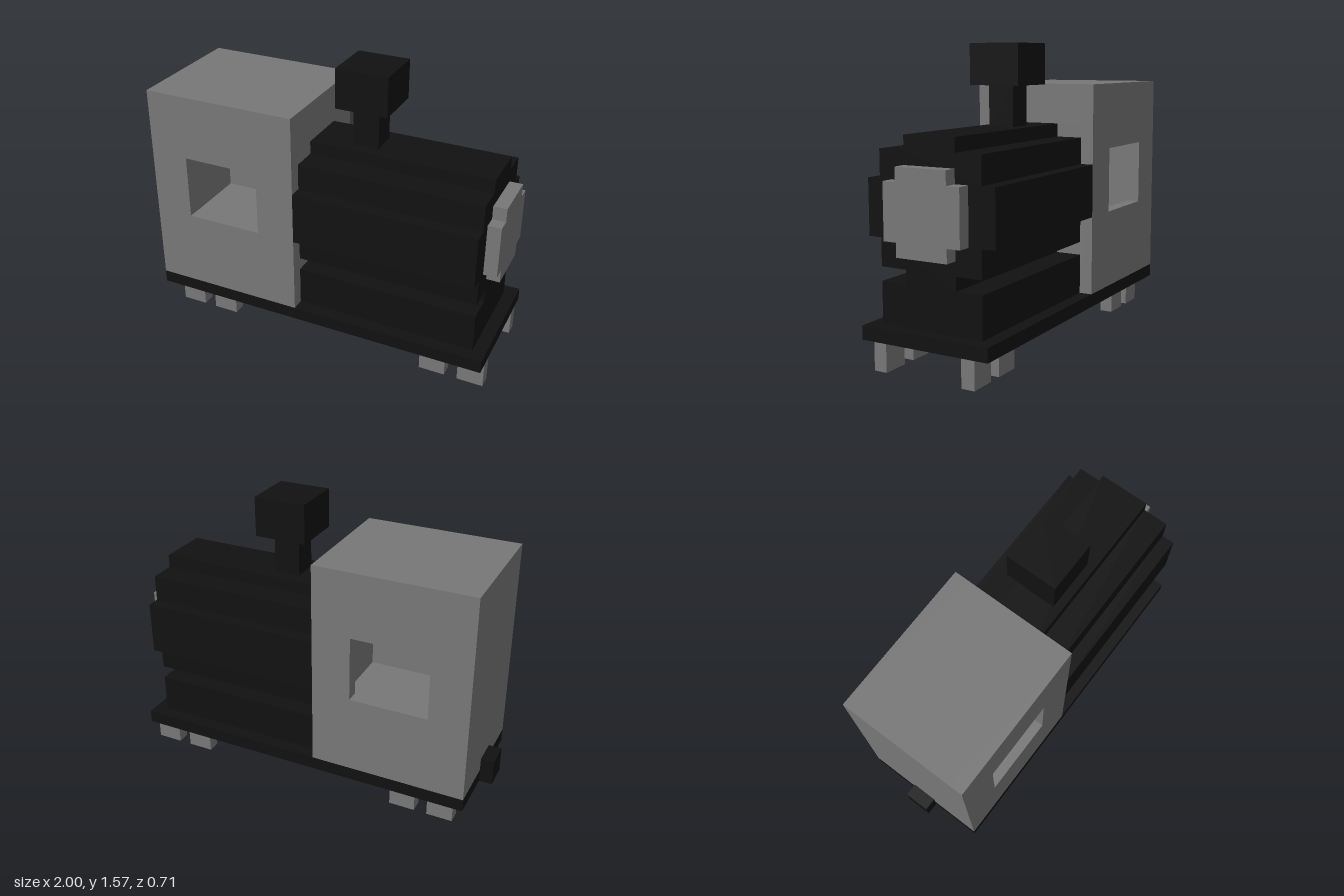
import * as THREE from 'three';

const U = 1 / 14; // one block of the model's grid

const grey = new THREE.MeshStandardMaterial({ color: 0x777777 });
grey.name = 'grey';
const black = new THREE.MeshStandardMaterial({ color: 0x111111 });
black.name = 'black';

// Box between two corners given in grid units
function block(parent, name, material, [x0, x1], [y0, y1], [z0, z1]) {
  const geometry = new THREE.BoxGeometry((x1 - x0) * U, (y1 - y0) * U, (z1 - z0) * U);
  const mesh = new THREE.Mesh(geometry, material);
  mesh.position.set((x0 + x1) * U / 2, (y0 + y1) * U / 2, (z0 + z1) * U / 2);
  mesh.name = name;
  parent.add(mesh);
}

function rectangle(Type, x0, x1, y0, y1) {
  const corners = [[x0, y0], [x1, y0], [x1, y1], [x0, y1]];
  return new Type(corners.map(([x, y]) => new THREE.Vector2(x * U, y * U)));
}

// Stepped, mirrored cross-section pushed along x; steps are [bottom, top, half width]
function steppedPrism(parent, name, material, steps, x0, x1) {
  const right = steps.flatMap(([y0, y1, w]) => [[w, y0], [w, y1]]);
  const left = right.map(([w, y]) => [-w, y]).reverse();
  const shape = new THREE.Shape([...right, ...left].map(([w, y]) => new THREE.Vector2(w * U, y * U)));
  const geometry = new THREE.ExtrudeGeometry(shape, { depth: (x1 - x0) * U, bevelEnabled: false });
  geometry.rotateY(Math.PI / 2).translate(x0 * U, 0, 0);
  const mesh = new THREE.Mesh(geometry, material);
  mesh.name = name;
  parent.add(mesh);
}

export function createModel() {
  const model = new THREE.Group();
  model.name = 'steamLocomotive';

  // Chassis and rear coupling
  block(model, 'chassis', black, [-13, 14], [2, 3], [-5, 5]);
  block(model, 'coupling', black, [-14, -13], [2, 4], [-1, 1]);

  // Four pairs of wheels
  const wheels = new THREE.Group();
  wheels.name = 'wheels';
  for (const x of [-12, -9, 9, 12]) {
    for (const z of [-4, 3]) block(wheels, 'wheel', grey, [x, x + 2], [0, 2], [z, z + 1]);
  }
  model.add(wheels);

  // Hollow cab with a window through each side wall
  const cab = new THREE.Group();
  cab.name = 'cab';
  block(cab, 'cabFloor', grey, [-13, -1], [3, 7], [-4, 4]);
  block(cab, 'cabRoof', grey, [-13, -1], [16, 19], [-4, 4]);
  block(cab, 'cabRearWall', grey, [-13, -12], [7, 16], [-4, 4]);
  block(cab, 'cabFrontWall', grey, [-2, -1], [7, 16], [-4, 4]);
  const side = rectangle(THREE.Shape, -13, -1, 3, 19);
  side.holes.push(rectangle(THREE.Path, -10, -4, 9, 14));
  const sideGeometry = new THREE.ExtrudeGeometry(side, { depth: U, bevelEnabled: false });
  for (const z of [-5, 4]) {
    const wall = new THREE.Mesh(sideGeometry, grey);
    wall.position.z = z * U;
    wall.name = 'cabSideWall';
    cab.add(wall);
  }
  model.add(cab);

  // Boiler with its bed, and the round plate on its nose
  steppedPrism(model, 'boiler', black,
    [[3, 6, 4], [6, 7, 2], [7, 9, 4], [9, 13, 5], [13, 15, 4], [15, 16, 2]], -1, 13);
  steppedPrism(model, 'nosePlate', grey, [[8, 9, 2], [9, 13, 3], [13, 14, 2]], 13, 14);

  // Chimney
  block(model, 'chimneyStem', black, [2, 4], [16, 19], [-1, 1]);
  block(model, 'chimneyTop', black, [1, 5], [19, 22], [-2, 2]);

  return model;
}
